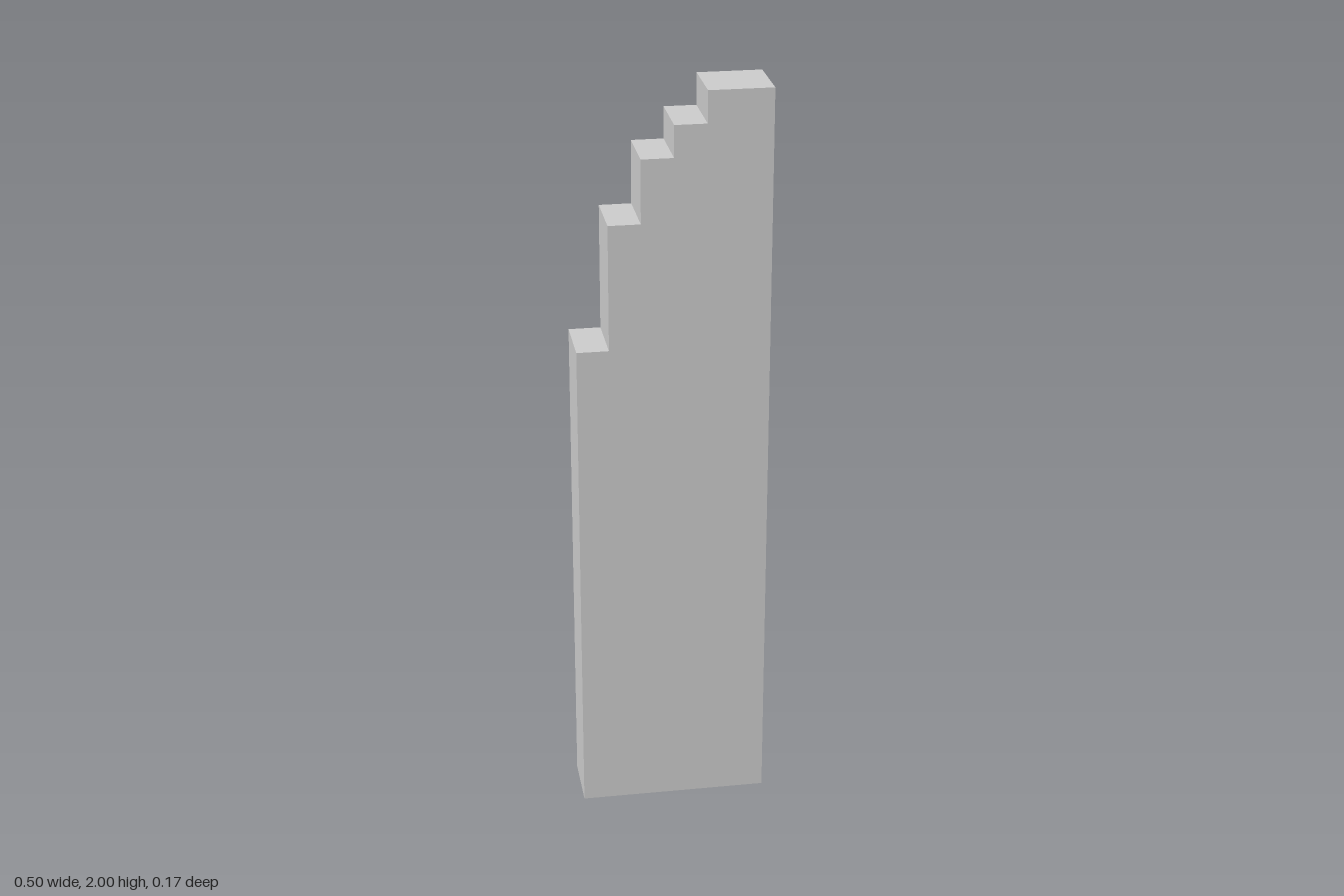
import * as THREE from 'three';

const UNIT = 1 / 12; // every dimension is a whole number of these

export function createModel() {
  const group = new THREE.Group();
  group.name = 'steppedPanel';

  // Step outline: [right edge x, top height] of each step, from -x to +x
  const steps = [[-2, 16], [-1, 20], [0, 22], [1, 23], [3, 24]];
  const outline = new THREE.Shape();
  let left = -3;
  outline.moveTo(3 * UNIT, 0);
  for (const [right, height] of [...steps].reverse()) {
    const index = steps.findIndex((s) => s[0] === right);
    left = index > 0 ? steps[index - 1][0] : -3;
    outline.lineTo(right * UNIT, height * UNIT);
    outline.lineTo(left * UNIT, height * UNIT);
  }
  outline.lineTo(left * UNIT, 0);
  outline.closePath();

  // Solid slab, two units thick, centred on z = 0
  const depth = 2 * UNIT;
  const geometry = new THREE.ExtrudeGeometry(outline, { depth, bevelEnabled: false });
  geometry.translate(0, 0, -depth / 2);

  const slab = new THREE.Mesh(
    geometry,
    new THREE.MeshStandardMaterial({ color: 0xcccccc, flatShading: true })
  );
  slab.name = 'steppedSlab';
  group.add(slab);
  return group;
}
